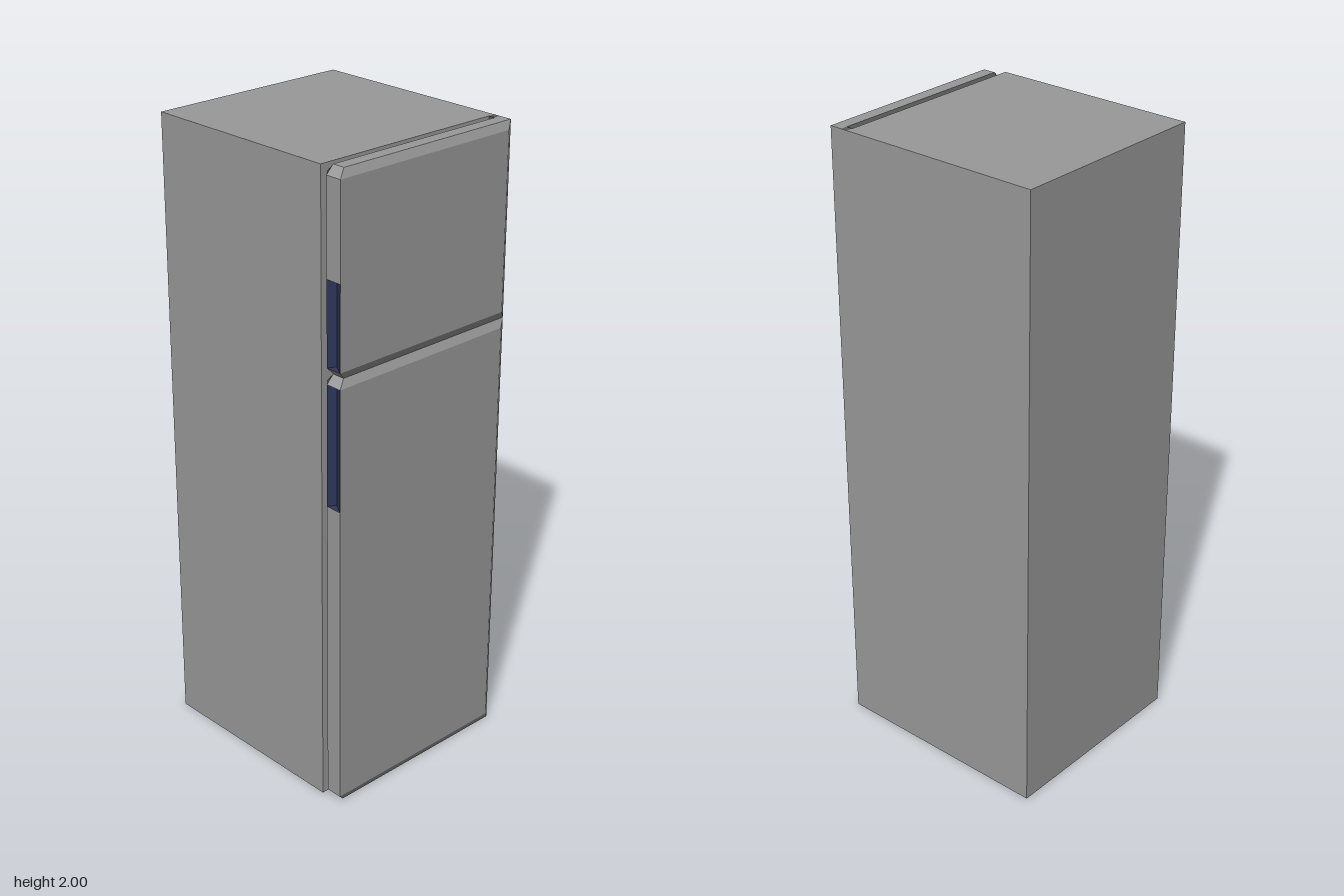
import * as THREE from 'three';

const X0 = 0.295, X1 = 0.317, X2 = 0.358, X3 = 0.37; // door depth steps, body side to outer face
const Z = 0.334, BEVEL = 0.025;
const GREY = 0x999999, DARK = 0x595959, BLUE = 0x2e375a;

// Horizontal outline of a door; groove pushes the grip recess inwards
const outline = (groove) => [
  [X3, -0.314], [X3, Z], [0.33, Z - groove], [X1, Z], [X0, 0.31],
  [X0, -0.29], [X1, -0.312], [X1, -Z], [X2, -Z],
];

// Same outline shrunk to the flat top or bottom of the door
const endOutline = () => outline(0).map(([x, z], i) => [
  THREE.MathUtils.clamp(x, X1, X2), i === 0 ? -Z : Math.min(z, 0.31),
]);

const paint = (color) => new THREE.MeshStandardMaterial({ color, flatShading: true });

function toMesh(positions, color, name) {
  const geometry = new THREE.BufferGeometry();
  geometry.setAttribute('position', new THREE.Float32BufferAttribute(positions, 3));
  geometry.computeVertexNormals();
  const mesh = new THREE.Mesh(geometry, paint(color));
  mesh.name = name;
  return mesh;
}

// Box given by its x and z limits, full height
function makeBox(name, xMin, xMax, zMin, zMax, color) {
  const mesh = new THREE.Mesh(new THREE.BoxGeometry(xMax - xMin, 2, zMax - zMin), paint(color));
  mesh.name = name;
  mesh.position.set((xMin + xMax) / 2, 1, (zMin + zMax) / 2);
  return mesh;
}

// Bevelled door lofted from outlines, with a dark seal behind and a grip recess in its opening edge
function makeDoor(name, bottom, top, gripLow, gripHigh) {
  const flat = outline(0), cut = outline(0.025);
  const levels = [
    [bottom, endOutline()], [bottom + BEVEL, flat], [gripLow, flat], [gripLow, cut],
    [gripHigh, cut], [gripHigh, flat], [top - BEVEL, flat], [top, endOutline()],
  ];
  const shell = [], grip = [], seal = [];
  const tri = (list, ...points) => points.forEach((p) => list.push(...p));

  for (let l = 0; l < levels.length - 1; l++) {
    const [y0, low] = levels[l], [y1, high] = levels[l + 1];
    low.forEach((p, i) => {
      const j = (i + 1) % low.length;
      const a = [p[0], y0, p[1]], b = [low[j][0], y0, low[j][1]];
      const c = [high[j][0], y1, high[j][1]], d = [high[i][0], y1, high[i][1]];
      const inGroove = (i === 1 || i === 2) && l >= 2 && l <= 4;
      const inSeal = i >= 3 && i <= 5;
      const list = inGroove ? grip : inSeal ? seal : shell;
      tri(list, a, d, c);
      tri(list, a, c, b);
    });
  }

  // Flat ends
  const corners = (y) => [[X2, y, -Z], [X2, y, 0.31], [X1, y, 0.31], [X1, y, -Z]];
  const [a, b, c, d] = corners(bottom);
  tri(shell, a, b, c);
  tri(shell, a, c, d);
  const [e, f, g, h] = corners(top);
  tri(shell, e, g, f);
  tri(shell, e, h, g);

  const door = new THREE.Group();
  door.name = name;
  door.add(
    toMesh(shell, GREY, 'doorPanel'),
    toMesh(grip, BLUE, 'gripRecess'),
    toMesh(seal, DARK, 'doorSeal'),
  );
  return door;
}

export function createModel() {
  const model = new THREE.Group();
  model.name = 'refrigerator';

  // Cabinet
  model.add(makeBox('cabinet', -0.37, X0, -Z, Z, GREY));

  // Full-height hinge with a grey cover on its outer side
  model.add(makeBox('hinge', X0, X1, -Z + 0.002, -0.312, DARK));
  model.add(makeBox('hingeCover', X0, X1, -Z, -Z + 0.002, GREY));

  // Doors
  model.add(makeDoor('fridgeDoor', 0, 1.402, 1.0, 1.377));
  model.add(makeDoor('freezerDoor', 1.402, 2, 1.427, 1.685));
  return model;
}
